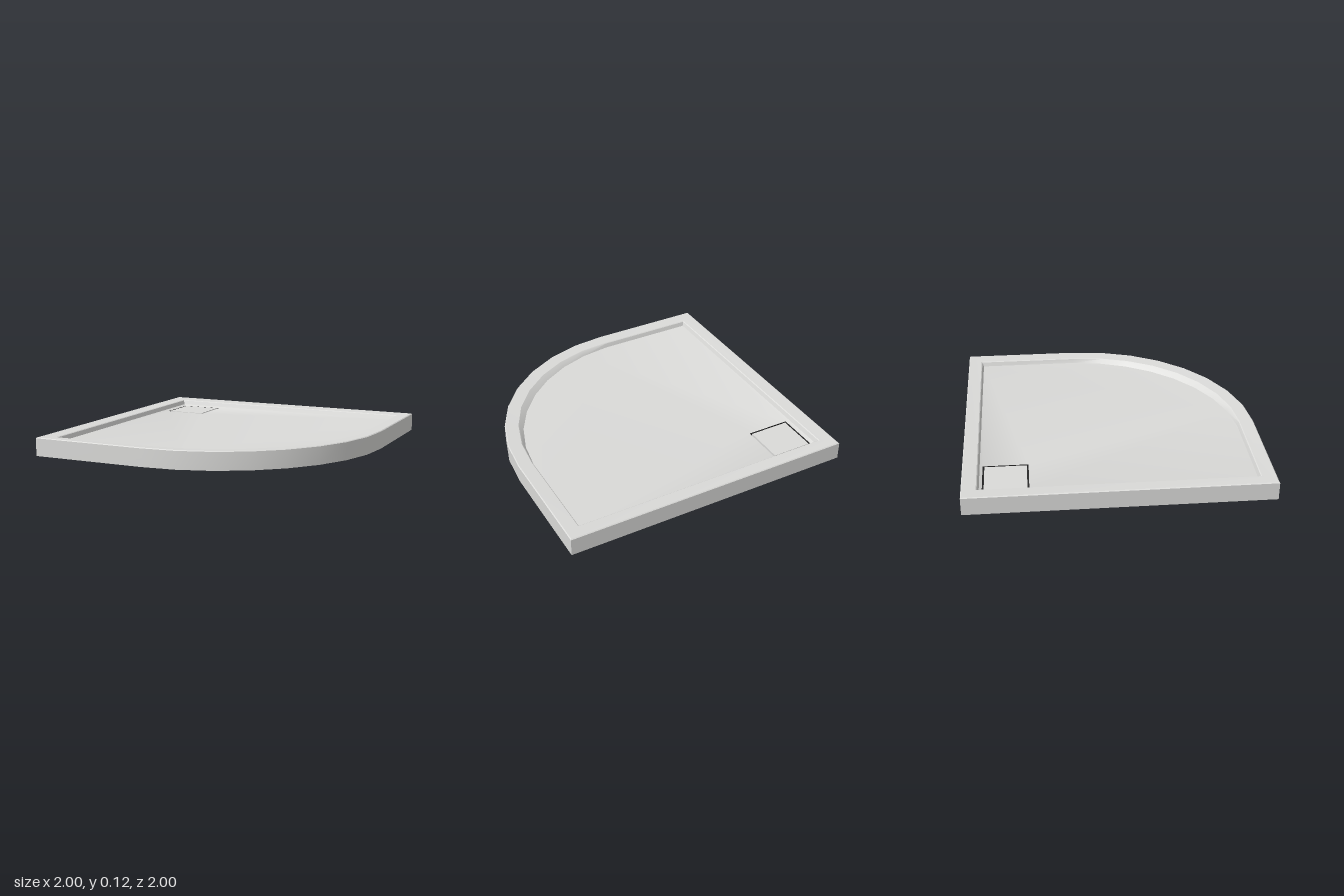
import * as THREE from 'three';
import { toCreasedNormals } from 'three/addons/utils/BufferGeometryUtils.js';

const SEG = 8, C = -0.2, R = 1.2;

// Quadrant outline at height y; extra widens the inset along the curve only.
function outline(y, inset, extra = 0) {
  const e = 1 - inset;
  const pts = [[-e, y, -e], [e, y, -e]];
  for (let i = 0; i <= SEG; i++) {
    const a = (i / SEG) * Math.PI / 2;
    const r = R - inset - extra * Math.sin(2 * a);
    pts.push([C + r * Math.cos(a), y, C + r * Math.sin(a)]);
  }
  pts.push([-e, y, e]);
  return pts;
}

// Square loop around the drain
const DX = -0.716, DZ = -0.722;
function square(y, h) {
  return [[-h, -h], [h, -h], [h, h], [-h, h]].map(([x, z]) => [DX + x, y, DZ + z]);
}

function fromTriangles(flat, crease) {
  const g = new THREE.BufferGeometry();
  g.setAttribute('position', new THREE.Float32BufferAttribute(flat, 3));
  g.computeVertexNormals();
  return toCreasedNormals(g, crease);
}

// Bands of quads joining successive loops
function loft(loops, crease = 0.45) {
  const out = [];
  for (let k = 0; k + 1 < loops.length; k++) {
    const a = loops[k], b = loops[k + 1], n = a.length;
    for (let i = 0; i < n; i++) {
      const j = (i + 1) % n;
      out.push(...a[i], ...b[i], ...a[j], ...b[i], ...b[j], ...a[j]);
    }
  }
  return fromTriangles(out, crease);
}

// Upward-facing sloped surface between an outer loop and a hole
function slopedFloor(outer, hole) {
  const to2 = (p) => new THREE.Vector2(p[0], p[2]);
  const all = [...outer, ...hole], out = [];
  for (const t of THREE.ShapeUtils.triangulateShape(outer.map(to2), [hole.map(to2)])) {
    const [a, b, c] = t.map((i) => all[i]);
    const up = (b[2] - a[2]) * (c[0] - a[0]) - (b[0] - a[0]) * (c[2] - a[2]);
    out.push(...a, ...(up > 0 ? [...b, ...c] : [...c, ...b]));
  }
  return fromTriangles(out, 0.5);
}

export function createModel() {
  const group = new THREE.Group();
  const material = (name, color) => {
    const m = new THREE.MeshStandardMaterial({ color });
    m.name = name;
    return m;
  };
  const enamel = material('pale grey', 0xdadad8);
  const dark = material('near black', 0x282828);
  const add = (name, geometry, mat) => {
    const mesh = new THREE.Mesh(geometry, mat);
    mesh.name = name;
    group.add(mesh);
    return mesh;
  };

  // Outer side, softened edge, rim falling gently inward and inner wall
  const floorEdge = outline(0.086, 0.11, 0.025);
  add('rim', loft([
    outline(0, 0), outline(0.12, 0), outline(0.125, 0.006),
    outline(0.119, 0.094), outline(0.115, 0.1), floorEdge,
  ]), enamel);

  // Floor sloping to the drain
  const holeEdge = square(0.077, 0.15);
  add('floor', slopedFloor(floorEdge, holeEdge), enamel);

  // Dark recess and its cover
  add('drainRecess', loft([holeEdge, square(0.05, 0.15)]), dark);
  const pan = add('drainRecessBase', new THREE.PlaneGeometry(0.3, 0.3).rotateX(-Math.PI / 2), dark);
  pan.position.set(DX, 0.05, DZ);
  const cover = add('drainCover', new THREE.BoxGeometry(0.276, 0.026, 0.276), enamel);
  cover.position.set(DX, 0.065, DZ);

  // Underside with the outlet ring
  const base = new THREE.Shape(outline(0, 0).map((p) => new THREE.Vector2(p[0], p[2])));
  const under = add('underside', new THREE.ShapeGeometry(base).rotateX(Math.PI / 2), dark);
  under.position.y = 0.002;
  const ring = add('outletRing', new THREE.RingGeometry(0.082, 0.106, 32).rotateX(Math.PI / 2), enamel);
  ring.position.set(DX, 0, DZ);

  return group;
}
